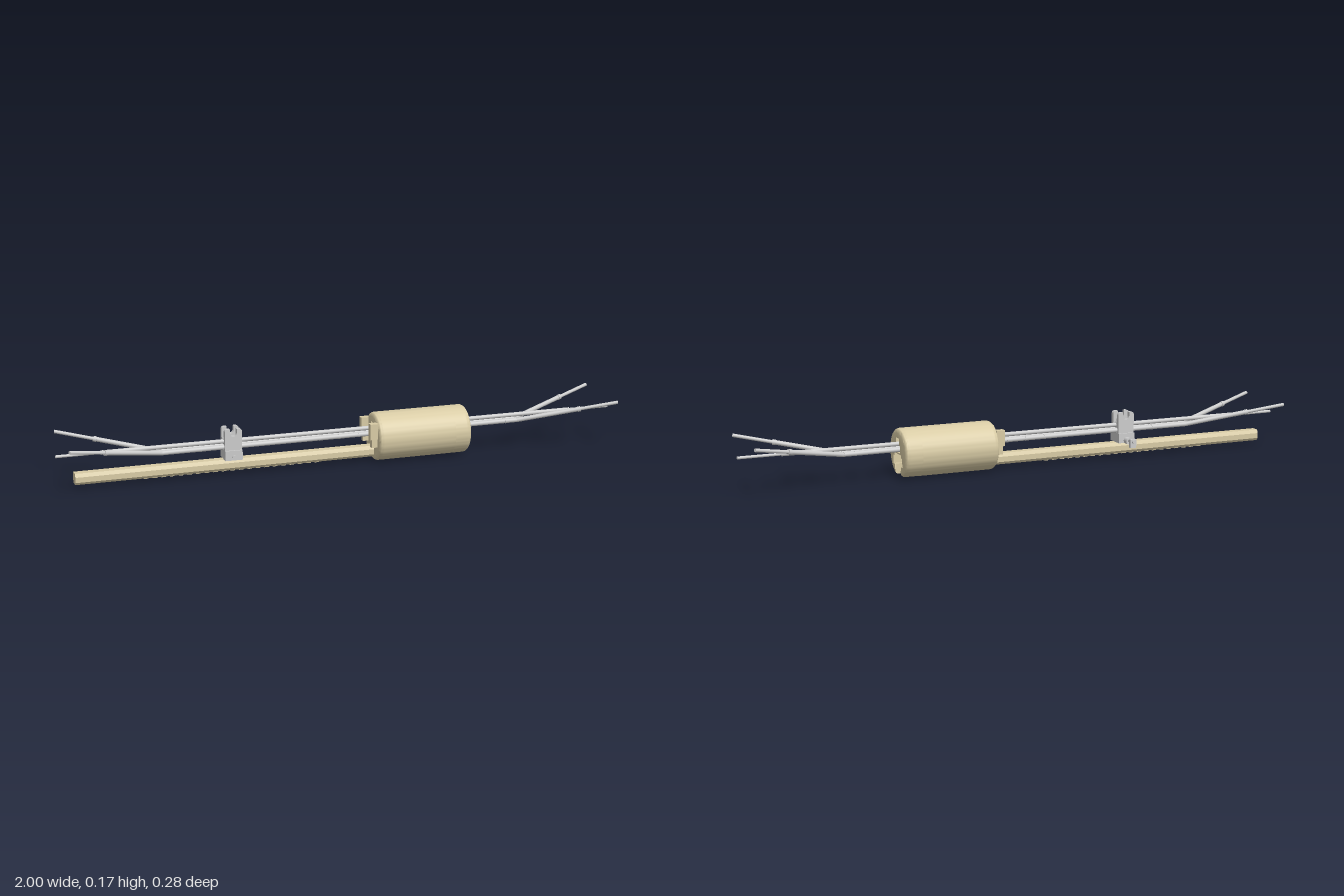
import * as THREE from 'three';
import { toCreasedNormals } from 'three/addons/utils/BufferGeometryUtils.js';

const grey = new THREE.MeshStandardMaterial({ color: 0xcccccc });
const tan = new THREE.MeshStandardMaterial({ color: 0xd8cba5 });
const V = (x, y, z) => new THREE.Vector3(x, y, z);

function add(parent, name, geometry, material, x = 0, y = 0, z = 0) {
  const mesh = new THREE.Mesh(geometry, material);
  mesh.name = name;
  mesh.position.set(x, y, z);
  parent.add(mesh);
  return mesh;
}

const box = (parent, name, material, size, pos) =>
  add(parent, name, new THREE.BoxGeometry(...size), material, ...pos);

// Round rod between two points
function rod(parent, name, a, b, r) {
  const d = b.clone().sub(a);
  const mesh = add(parent, name, new THREE.CylinderGeometry(r, r, d.length(), 20), grey);
  mesh.position.copy(a).lerp(b, 0.5);
  mesh.quaternion.setFromUnitVectors(V(0, 1, 0), d.normalize());
  return mesh;
}

// Extrude a (z, y) section along x from x0 to x1
function alongX(shape, x0, x1, steps = 1) {
  const geo = new THREE.ExtrudeGeometry(shape, {
    depth: x1 - x0, steps, bevelEnabled: false, curveSegments: 16,
  });
  return geo.rotateY(Math.PI / 2).translate(x0, 0, 0);
}

const polygon = (points) => points.map(([u, v]) => new THREE.Vector2(u, v));
const mirrored = (half) => polygon([...half, ...half.slice().reverse().map(([u, v]) => [-u, v])]);

const CY = 0.086, R = 0.084, X0 = 0.105, X1 = 0.445, ROUND = 0.014;

// Body section, optionally with the slot open at the underside
function bodyShape(slotted) {
  const points = [];
  const half = slotted ? Math.asin(0.03 / R) : 0;
  const n = 72;
  for (let i = 0; i < (slotted ? n + 1 : n); i++) {
    const a = -Math.PI / 2 + half + (i / n) * (Math.PI * 2 - 2 * half);
    points.push([R * Math.cos(a), CY + R * Math.sin(a)]);
  }
  if (slotted) {
    points.push([-0.03, 0.043], [-0.042, 0.043], [-0.042, 0.073], [-0.03, 0.073], [-0.03, 0.083],
      [0.03, 0.083], [0.03, 0.073], [0.042, 0.073], [0.042, 0.043], [0.03, 0.043]);
  }
  const shape = new THREE.Shape(polygon(points));
  shape.holes.push(new THREE.Path(mirrored([
    [0.022, 0.088], [0.022, 0.111], [0.014, 0.115], [0.014, 0.137],
  ])));
  return shape;
}

// Round the outer rim at both ends of the body
function roundRim(geo) {
  const p = geo.attributes.position;
  for (let i = 0; i < p.count; i++) {
    const y = p.getY(i) - CY, z = p.getZ(i), r = Math.hypot(y, z);
    const d = Math.min(p.getX(i) - X0, X1 - p.getX(i));
    if (r < 0.08 || d >= ROUND) continue;
    const t = 1 - Math.max(d, 0) / ROUND;
    const k = (r - ROUND * (1 - Math.sqrt(1 - t * t))) / r;
    p.setY(i, CY + y * k);
    p.setZ(i, z * k);
  }
  return toCreasedNormals(geo, 0.6);
}

function makeBody() {
  const g = new THREE.Group();
  g.name = 'cylinderBody';
  add(g, 'mainBarrel', roundRim(alongX(bodyShape(false), X0, 0.385, 80)), tan);
  add(g, 'slottedEnd', roundRim(alongX(bodyShape(true), 0.385, X1, 20)), tan);
  // Lugs on the end facing the rail
  for (const s of [-1, 1]) {
    box(g, 'upperLug', tan, [0.03, 0.055, 0.022], [0.093, 0.117, s * 0.048]);
    box(g, 'lowerLug', tan, [0.024, 0.03, 0.018], [0.096, 0.075, s * 0.046]);
  }
  return g;
}

function makeRail() {
  const g = new THREE.Group();
  g.name = 'rail';
  const section = new THREE.Shape(mirrored([
    [0.013, 0.017], [0.02, 0.026], [0.02, 0.044], [0.014, 0.056],
  ]));
  add(g, 'railBar', toCreasedNormals(alongX(section, -0.94, 0.2), 0.3), tan);
  // Row of teeth on the underside
  for (let x = -0.7; x < -0.08; x += 0.03) {
    box(g, 'railTooth', tan, [0.016, 0.004, 0.022], [x, 0.0165, 0]);
  }
  return g;
}

function makeRods() {
  const g = new THREE.Group();
  g.name = 'rods';
  // Straight upper rod with thin tips
  rod(g, 'upperRod', V(-0.85, 0.117, 0), V(0.85, 0.117, 0), 0.0075);
  rod(g, 'upperRodCore', V(-1, 0.117, 0), V(1, 0.117, 0), 0.005);
  for (const s of [-1, 1]) {
    const z = s * 0.013;
    rod(g, 'lowerRod', V(-0.65, 0.1, z), V(0.64, 0.1, z), 0.008);
    // Splayed ends with thin tips
    for (const e of [-1, 1]) {
      const bend = V(e * 0.645, 0.1, z), tip = V(e * 0.977, 0.166, s * 0.132);
      const mid = bend.clone().lerp(tip, 0.6);
      add(g, 'bendJoint', new THREE.SphereGeometry(0.008, 16, 12), grey, bend.x, bend.y, bend.z);
      rod(g, 'splayedRod', bend, mid, 0.008);
      rod(g, 'splayedCollar', mid, bend.clone().lerp(tip, 0.63), 0.0095);
      rod(g, 'splayedTip', mid, tip, 0.006);
    }
    for (const x of [-0.51, -0.09, -0.02, 0.05, 0.6]) {
      rod(g, 'rodCollar', V(x - 0.003, 0.1, z), V(x + 0.003, 0.1, z), 0.0086);
    }
  }
  return g;
}

function makeClamp() {
  const g = new THREE.Group();
  g.name = 'clamp';
  g.position.x = -0.4;
  box(g, 'clampBase', grey, [0.06, 0.034, 0.066], [0, 0.073, 0]);
  box(g, 'clampFoot', grey, [0.014, 0.03, 0.03], [-0.02, 0.047, 0]);
  // Side cheeks with a notch between two rounded prongs
  const cheek = new THREE.Shape();
  cheek.moveTo(-0.03, 0.085).lineTo(0.03, 0.085).lineTo(0.03, 0.155);
  cheek.quadraticCurveTo(0.029, 0.164, 0.02, 0.164);
  cheek.lineTo(0.012, 0.164).lineTo(0.012, 0.152);
  cheek.absarc(0, 0.15, 0.012, 0, Math.PI, true);
  cheek.lineTo(-0.012, 0.164).lineTo(-0.02, 0.164);
  cheek.quadraticCurveTo(-0.029, 0.164, -0.03, 0.155);
  const cheekGeo = new THREE.ExtrudeGeometry(cheek, { depth: 0.014, bevelEnabled: false, curveSegments: 8 });
  for (const z of [-0.027, 0.013]) add(g, 'clampCheek', cheekGeo, grey, 0, 0, z);
  // Sleeve around the upper rod
  rod(g, 'rodSleeve', V(-0.028, 0.117, 0), V(0.028, 0.117, 0), 0.0105);
  // Cross screw with its thumb plate
  rod(g, 'screwShaft', V(0, 0.068, 0.038), V(0, 0.068, -0.092), 0.006);
  rod(g, 'screwBoss', V(0, 0.065, -0.03), V(0, 0.065, -0.055), 0.012);
  box(g, 'thumbPlate', grey, [0.022, 0.03, 0.012], [0, 0.062, -0.079]);
  return g;
}

export function createModel() {
  const model = new THREE.Group();
  model.name = 'rodAssembly';
  model.add(makeBody(), makeRail(), makeRods(), makeClamp());
  return model;
}
